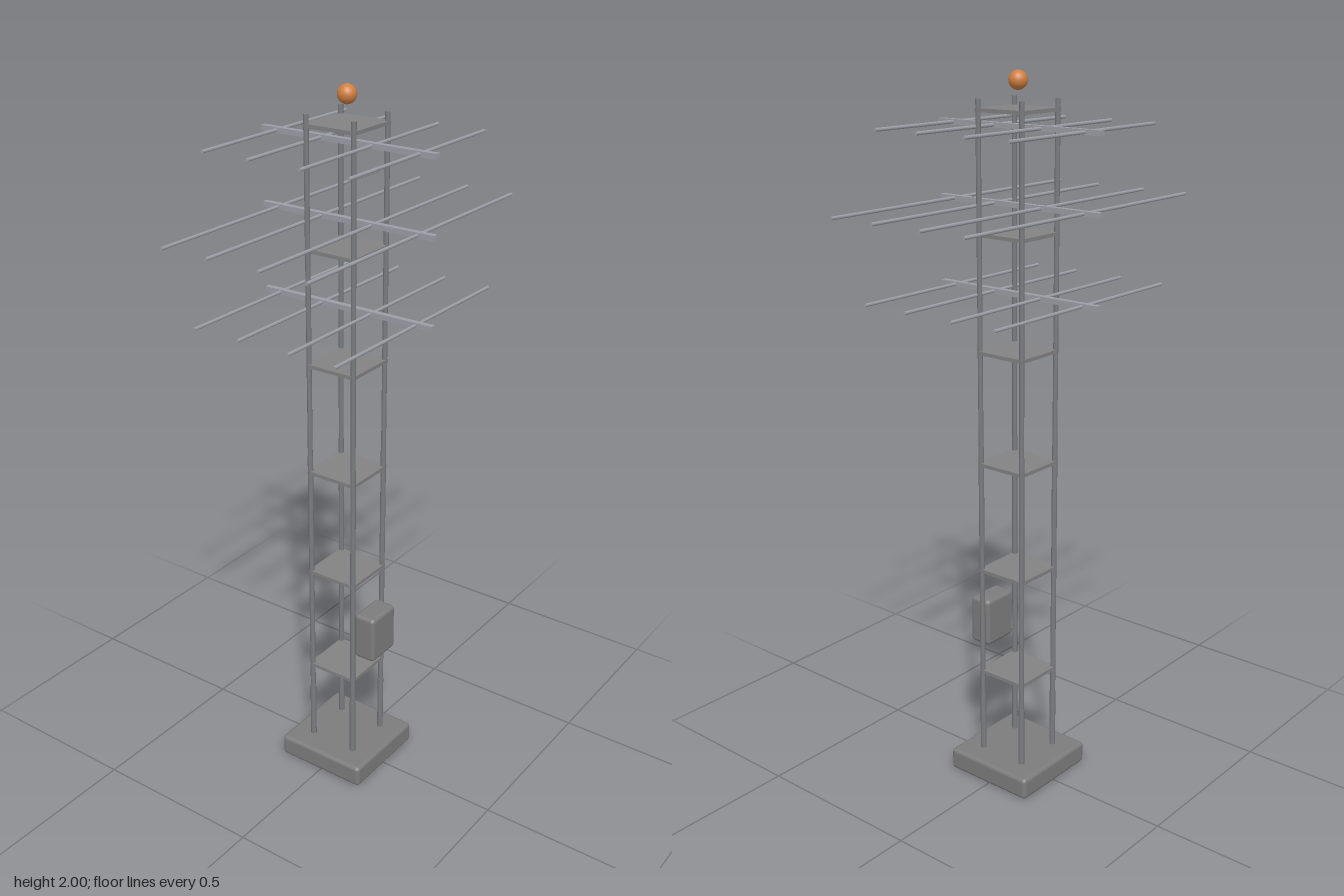
import * as THREE from 'three';
import { RoundedBoxGeometry } from 'three/addons/geometries/RoundedBoxGeometry.js';

function material(name, color) {
  const m = new THREE.MeshStandardMaterial({ color });
  m.name = name;
  return m;
}

export function createModel() {
  const model = new THREE.Group();
  model.name = 'antennaTower';
  const concrete = material('concrete grey', 0x7c7c7c);
  const steel = material('steel grey', 0x7a7c80);
  const plateGrey = material('plate grey', 0x828282);
  const aluminium = material('aluminium', 0x9c9ea6);
  const orange = material('beacon orange', 0xd07f40);

  function add(name, geometry, mat, x, y, z, parent = model) {
    const mesh = new THREE.Mesh(geometry, mat);
    mesh.name = name;
    mesh.position.set(x, y, z);
    parent.add(mesh);
    return mesh;
  }

  // Foundation slab and equipment cabinet
  add('foundation', new RoundedBoxGeometry(0.28, 0.065, 0.28, 2, 0.012), concrete, 0, 0.0325, 0);
  add('cabinet', new RoundedBoxGeometry(0.112, 0.142, 0.068, 2, 0.012), concrete, 0, 0.46, 0.098);

  // Four corner posts, stepped thinner toward the top
  const sections = [[0.05, 0.24, 0.0085], [0.24, 1.0, 0.0075], [1.0, 1.93, 0.0068]];
  for (const x of [-0.072, 0.072]) for (const z of [-0.072, 0.072]) {
    const post = new THREE.Group();
    post.name = 'cornerPost';
    model.add(post);
    for (const [y0, y1, r] of sections)
      add('postSection', new THREE.CylinderGeometry(r, r, y1 - y0, 10), steel, x, (y0 + y1) / 2, z, post);
  }

  // Bracing plates at equal heights
  for (let i = 1; i <= 6; i++)
    add('bracingPlate', new THREE.BoxGeometry(0.156, 0.01, 0.156), plateGrey, 0, 0.317 * i, 0);

  // Antenna arrays: one boom with four cross rods on each level
  for (const [y, half] of [[1.425, 0.353], [1.66, 0.455], [1.86, 0.295]]) {
    const array = new THREE.Group();
    array.name = 'antennaArray';
    model.add(array);
    add('boom', new THREE.BoxGeometry(0.016, 0.014, 0.532), aluminium, 0, y, 0, array);
    for (const z of [-0.217, -0.078, 0.078, 0.217]) {
      const rod = add('crossRod', new THREE.CylinderGeometry(0.0048, 0.0048, half * 2, 8), aluminium, 0, y, z, array);
      rod.rotation.z = Math.PI / 2;
    }
  }

  // Warning beacon
  add('beacon', new THREE.SphereGeometry(0.025, 20, 14), orange, 0, 1.975, 0);
  return model;
}
